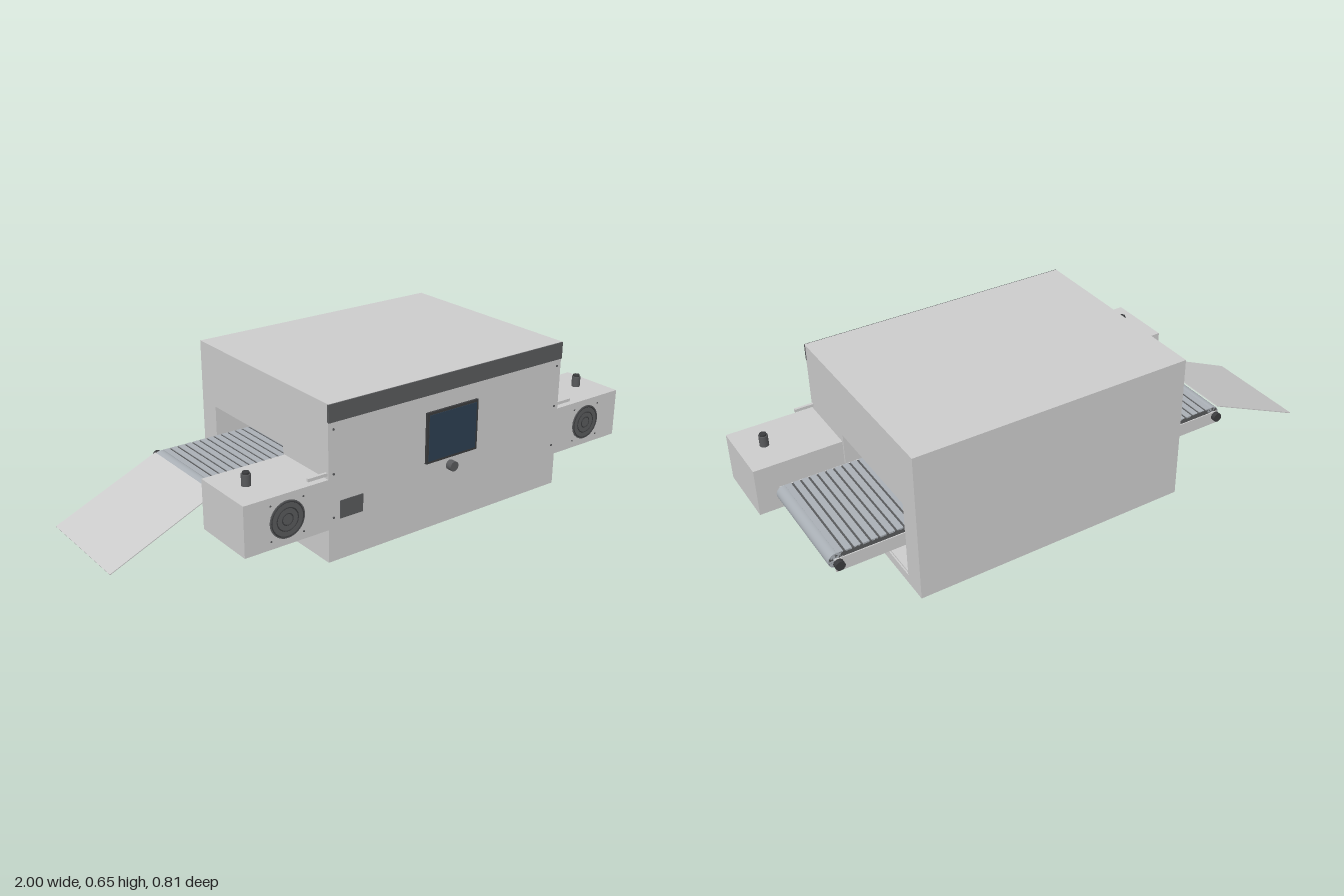
import * as THREE from 'three';

const mat = (color) => new THREE.MeshStandardMaterial({ color });
const grey = mat(0xcccccc);
const dark = mat(0x58595b);
const black = mat(0x3a3b3d);
const steel = mat(0xa9afb5);
const orange = mat(0xd9823f);
const glass = mat(0x2c3e50);

export function createModel() {
  const root = new THREE.Group();

  const add = (name, geometry, material, parent = root) => {
    const mesh = new THREE.Mesh(geometry, material);
    mesh.name = name;
    parent.add(mesh);
    return mesh;
  };
  // Box given by its lower and upper limits on each axis
  const box = (name, [x0, x1], [y0, y1], [z0, z1], material = grey) => {
    const m = add(name, new THREE.BoxGeometry(x1 - x0, y1 - y0, z1 - z0), material);
    m.position.set((x0 + x1) / 2, (y0 + y1) / 2, (z0 + z1) / 2);
    return m;
  };
  // Cylinder centred on a point, lying along the given axis
  const cyl = (name, axis, r, length, [x, y, z], material = dark) => {
    const g = new THREE.CylinderGeometry(r, r, length, 32);
    if (axis === 'x') g.rotateZ(Math.PI / 2);
    if (axis === 'z') g.rotateX(Math.PI / 2);
    const m = add(name, g, material);
    m.position.set(x, y, z);
    return m;
  };
  const rectangle = (ShapeType, x0, x1, y0, y1) => {
    const s = new ShapeType();
    s.moveTo(x0, y0);
    s.lineTo(x1, y0);
    s.lineTo(x1, y1);
    s.lineTo(x0, y1);
    s.closePath();
    return s;
  };

  // Oven housing with a tunnel running right through it
  const section = rectangle(THREE.Shape, -0.38, 0.405, 0.09, 0.648);
  section.holes.push(rectangle(THREE.Path, -0.122, 0.317, 0.125, 0.42));
  const housing = new THREE.ExtrudeGeometry(section, { depth: 1.035, bevelEnabled: false });
  housing.rotateY(Math.PI / 2);
  add('housing', housing, grey).position.x = -0.355;
  box('topBand', [-0.355, 0.68], [0.585, 0.647], [0.375, 0.384], dark);
  box('heater', [-0.3, 0.62], [0.41, 0.419], [-0.303, 0.106], orange);
  box('crumbTray', [-0.35, 0.675], [0.125, 0.131], [-0.315, 0.12]);

  // Feet
  for (const x of [-0.22, 0.545]) {
    for (const z of [0.165, -0.262]) {
      cyl('foot', 'y', 0.023, 0.085, [x, 0.0425, z]);
      cyl('footFlange', 'y', 0.032, 0.008, [x, 0.086, z]);
    }
  }

  // Conveyor belt: a flat loop with rounded ends
  const [beltLeft, beltRight, beltY, beltR] = [-0.592, 0.913, 0.2875, 0.025];
  const loop = new THREE.Shape();
  loop.moveTo(beltLeft, beltY - beltR);
  loop.lineTo(beltRight, beltY - beltR);
  loop.absarc(beltRight, beltY, beltR, -Math.PI / 2, Math.PI / 2, false);
  loop.lineTo(beltLeft, beltY + beltR);
  loop.absarc(beltLeft, beltY, beltR, Math.PI / 2, Math.PI * 1.5, false);
  const belt = new THREE.ExtrudeGeometry(loop, { depth: 0.408, bevelEnabled: false, curveSegments: 16 });
  add('belt', belt, dark).position.z = -0.303;
  for (let i = 0; i < 50; i++) {
    const x = beltLeft + 0.02 + i * 0.03;
    box('beltSlat', [x - 0.011, x + 0.011], [0.309, 0.315], [-0.303, 0.106], steel);
  }

  // End rollers, shafts, knobs and side rails
  for (const x of [beltLeft, beltRight]) {
    cyl('endRoller', 'z', 0.0275, 0.409, [x, beltY, -0.0985], steel);
    cyl('rollerShaft', 'z', 0.01, 0.455, [x, beltY, -0.0975], steel);
    cyl('shaftKnob', 'z', 0.017, 0.018, [x, beltY, -0.327], black);
  }
  for (const z of [-0.317, 0.117]) {
    box('sideRail', [beltLeft - 0.01, beltRight + 0.01], [0.255, 0.305], [z - 0.002, z + 0.002]);
  }

  // Sloping exit chute
  const chute = box('chute', [-0.213, 0.213], [-0.0015, 0.0015], [-0.303, 0.106]);
  chute.position.set(-0.809, 0.226, -0.0985);
  chute.rotation.z = Math.atan2(0.17, 0.385);

  // Control boxes at both ends, each with a fan grille and a beacon
  const ends = [
    { limits: [-0.675, -0.355], fanX: -0.515, beaconX: -0.585, bar: [-0.43, -0.355] },
    { limits: [0.68, 1.0], fanX: 0.835, beaconX: 0.91, bar: [0.68, 0.75] },
  ];
  for (const { limits, fanX, beaconX, bar } of ends) {
    box('controlBox', limits, [0.21, 0.39], [0.13, 0.38]);
    cyl('fanGrille', 'z', 0.066, 0.004, [fanX, 0.3, 0.381]);
    for (const r of [0.02, 0.04, 0.06]) {
      add('grilleRing', new THREE.TorusGeometry(r, 0.002, 6, 40), black).position.set(fanX, 0.3, 0.383);
    }
    for (const sx of [-1, 1]) {
      for (const sy of [-1, 1]) {
        cyl('grilleScrew', 'z', 0.003, 0.003, [fanX + sx * 0.062, 0.3 + sy * 0.062, 0.381]);
      }
    }
    cyl('beacon', 'y', 0.016, 0.04, [beaconX, 0.41, 0.255]);
    cyl('beaconCap', 'y', 0.012, 0.008, [beaconX, 0.433, 0.255], black);
    box('bracket', bar, [0.401, 0.412], [0.365, 0.375]);
  }

  // Front controls
  box('screenFrame', [0.047, 0.275], [0.338, 0.524], [0.375, 0.389], black);
  box('screen', [0.056, 0.266], [0.347, 0.515], [0.385, 0.391], glass);
  cyl('controlKnob', 'z', 0.018, 0.025, [0.161, 0.306, 0.3925]);
  box('ratingPlate', [-0.31, -0.217], [0.24, 0.304], [0.378, 0.383], dark);
  for (const x of [-0.335, 0.66]) {
    for (const y of [0.25, 0.405, 0.56]) cyl('panelScrew', 'z', 0.004, 0.003, [x, y, 0.381]);
  }

  // Side power socket and plate
  cyl('powerSocket', 'x', 0.03, 0.03, [0.695, 0.17, 0.295]);
  box('sidePlate', [0.676, 0.683], [0.148, 0.207], [0.135, 0.25], dark);

  return root;
}
